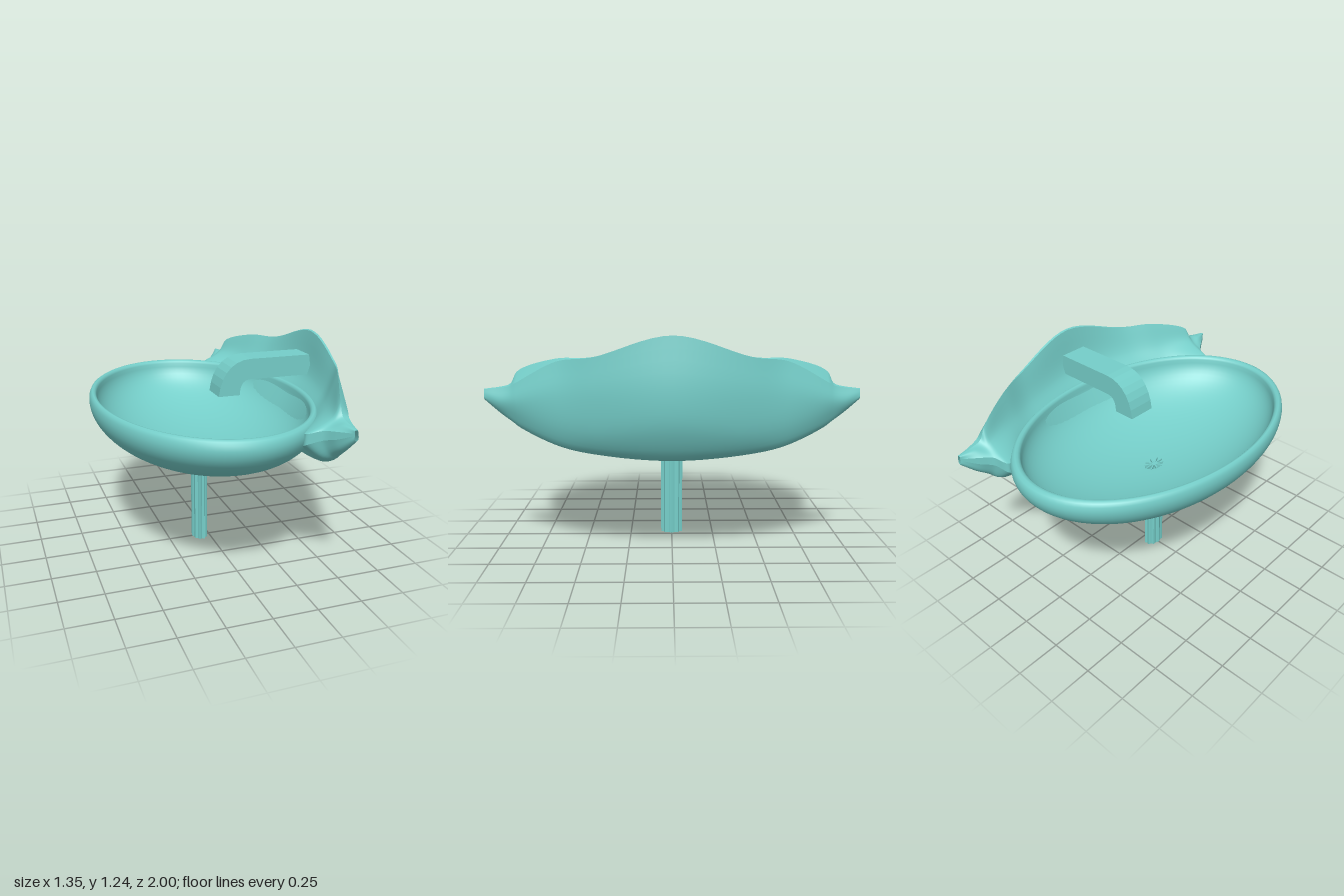
import * as THREE from 'three';

const V = (x, y, z = 0) => new THREE.Vector3(x, y, z);
const CX = -0.06, RX = 0.62, RZ = 0.915; // bowl centre and half axes

// Splash wall cross-sections: z, then x,y pairs running from the underside,
// round the outer face, over the lip and down the inner face.
const SECTIONS = [
  [0, 0.41, 0.67, 0.46, 0.59, 0.54, 0.585, 0.645, 0.75, 0.675, 0.95, 0.65, 1.24, 0.64, 1.235, 0.60, 1.0, 0.53, 0.895],
  [0.4, 0.38, 0.70, 0.44, 0.615, 0.50, 0.61, 0.575, 0.72, 0.61, 0.93, 0.60, 1.13, 0.59, 1.13, 0.53, 0.98, 0.46, 0.895],
  [0.6, 0.33, 0.74, 0.41, 0.655, 0.47, 0.65, 0.525, 0.75, 0.545, 0.93, 0.515, 1.10, 0.505, 1.115, 0.45, 0.98, 0.38, 0.895],
  [0.82, 0.22, 0.83, 0.33, 0.745, 0.40, 0.74, 0.44, 0.80, 0.465, 0.89, 0.45, 0.985, 0.405, 1.04, 0.36, 0.96, 0.22, 0.89],
  [0.86, 0.30, 0.86, 0.345, 0.785, 0.395, 0.77, 0.43, 0.82, 0.45, 0.89, 0.435, 0.965, 0.40, 0.975, 0.35, 0.94, 0.30, 0.91],
  [0.92, 0.34, 0.88, 0.36, 0.83, 0.39, 0.815, 0.42, 0.845, 0.435, 0.89, 0.42, 0.953, 0.40, 0.957, 0.37, 0.95, 0.34, 0.92],
  [1, 0.39, 0.92, 0.39, 0.90, 0.40, 0.89, 0.41, 0.90, 0.41, 0.92, 0.405, 0.945, 0.40, 0.947, 0.39, 0.945, 0.39, 0.93],
];

// Smooth sheet through a list of rails
function sheet(rails, alongCount, acrossCount) {
  const pos = [], index = [];
  for (let i = 0; i <= alongCount; i++) {
    const row = new THREE.CatmullRomCurve3(rails.map((r) => r.getPoint(i / alongCount)));
    for (let j = 0; j <= acrossCount; j++) {
      const p = row.getPoint(j / acrossCount);
      pos.push(p.x, p.y, p.z);
      if (i < alongCount && j < acrossCount) {
        const a = i * (acrossCount + 1) + j, b = a + acrossCount + 1;
        index.push(a, a + 1, b, b, a + 1, b + 1);
      }
    }
  }
  const g = new THREE.BufferGeometry();
  g.setAttribute('position', new THREE.Float32BufferAttribute(pos, 3));
  g.setIndex(index);
  g.computeVertexNormals();
  return g;
}

export function createModel() {
  const group = new THREE.Group();
  const glaze = new THREE.MeshStandardMaterial({ color: 0x75cec9, side: THREE.DoubleSide });
  glaze.name = 'turquoise glaze';
  const add = (name, geometry, parent = group) => {
    const mesh = new THREE.Mesh(geometry, glaze);
    mesh.name = name;
    parent.add(mesh);
    return mesh;
  };

  // Oval bowl: outer curve, rounded rim, inner curve, open at the drain
  const profile = [];
  const arc = (r, yTop, depth, from, to) => {
    for (let i = 0; i <= 20; i++) {
      const a = from + (to - from) * i / 20;
      profile.push(new THREE.Vector2(r * Math.sin(a), yTop - depth * Math.cos(a)));
    }
  };
  arc(1, 0.87, 0.32, 0.072, Math.PI / 2);
  for (const [r, y] of [[0.995, 0.895], [0.983, 0.912], [0.965, 0.92], [0.948, 0.918], [0.937, 0.91]])
    profile.push(new THREE.Vector2(r, y));
  arc(0.93, 0.9, 0.31, Math.PI / 2, 0.077);
  const bowl = new THREE.LatheGeometry(profile, 96);
  bowl.scale(RX, 1, RZ);
  add('bowl', bowl).position.x = CX;

  // Splash wall: rails run from tip to tip, mirrored in z
  const rails = [];
  for (let k = 0; k < 9; k++) {
    const half = SECTIONS.map((s) => V(s[1 + 2 * k], s[2 + 2 * k], s[0]));
    const other = half.slice(1).reverse().map((p) => V(p.x, p.y, -p.z));
    rails.push(new THREE.CatmullRomCurve3([...other, ...half]));
  }
  const wall = new THREE.Group();
  wall.name = 'splashWall';
  group.add(wall);
  add('wallOuterFace', sheet(rails.slice(0, 6), 96, 24), wall);
  add('wallLip', sheet(rails.slice(5, 7), 96, 1), wall);
  add('wallInnerFace', sheet(rails.slice(6, 9), 96, 12), wall);
  add('wallJoint', sheet([rails[8], rails[0]], 96, 1), wall);

  // Square-section spout bending down over the bowl
  const s = new THREE.Shape();
  s.moveTo(0.035, 0.9);
  s.bezierCurveTo(0.05, 1.03, 0.12, 1.11, 0.23, 1.11);
  s.lineTo(0.6, 1.11);
  s.lineTo(0.62, 0.99);
  s.lineTo(0.23, 0.99);
  s.bezierCurveTo(0.19, 0.99, 0.165, 0.965, 0.165, 0.9);
  const spout = new THREE.ExtrudeGeometry(s, { depth: 0.165, bevelEnabled: false, curveSegments: 7 });
  spout.translate(0, 0, -0.0825);
  add('spout', spout);

  // Fluted open drain pipe
  const pipe = new THREE.CylinderGeometry(1, 1, 0.57, 40, 1, true).toNonIndexed();
  const p = pipe.attributes.position;
  for (let i = 0; i < p.count; i++) {
    const a = Math.atan2(p.getZ(i), p.getX(i));
    const r = 0.92 + 0.08 * Math.cos(10 * a);
    p.setXYZ(i, p.getX(i) * r * 0.047, p.getY(i) + 0.285, p.getZ(i) * r * 0.068);
  }
  pipe.computeVertexNormals();
  add('drainPipe', pipe).position.x = CX;

  // Drain grille of crossing bars
  const grille = new THREE.Group();
  grille.name = 'drainGrille';
  grille.position.set(CX, 0.588, 0);
  grille.scale.set(RX / RZ, 1, 1);
  group.add(grille);
  for (let i = 0; i < 5; i++)
    add('grilleBar', new THREE.BoxGeometry(0.14, 0.012, 0.01), grille).rotation.y = (i + 0.5) * Math.PI / 5;

  return group;
}
